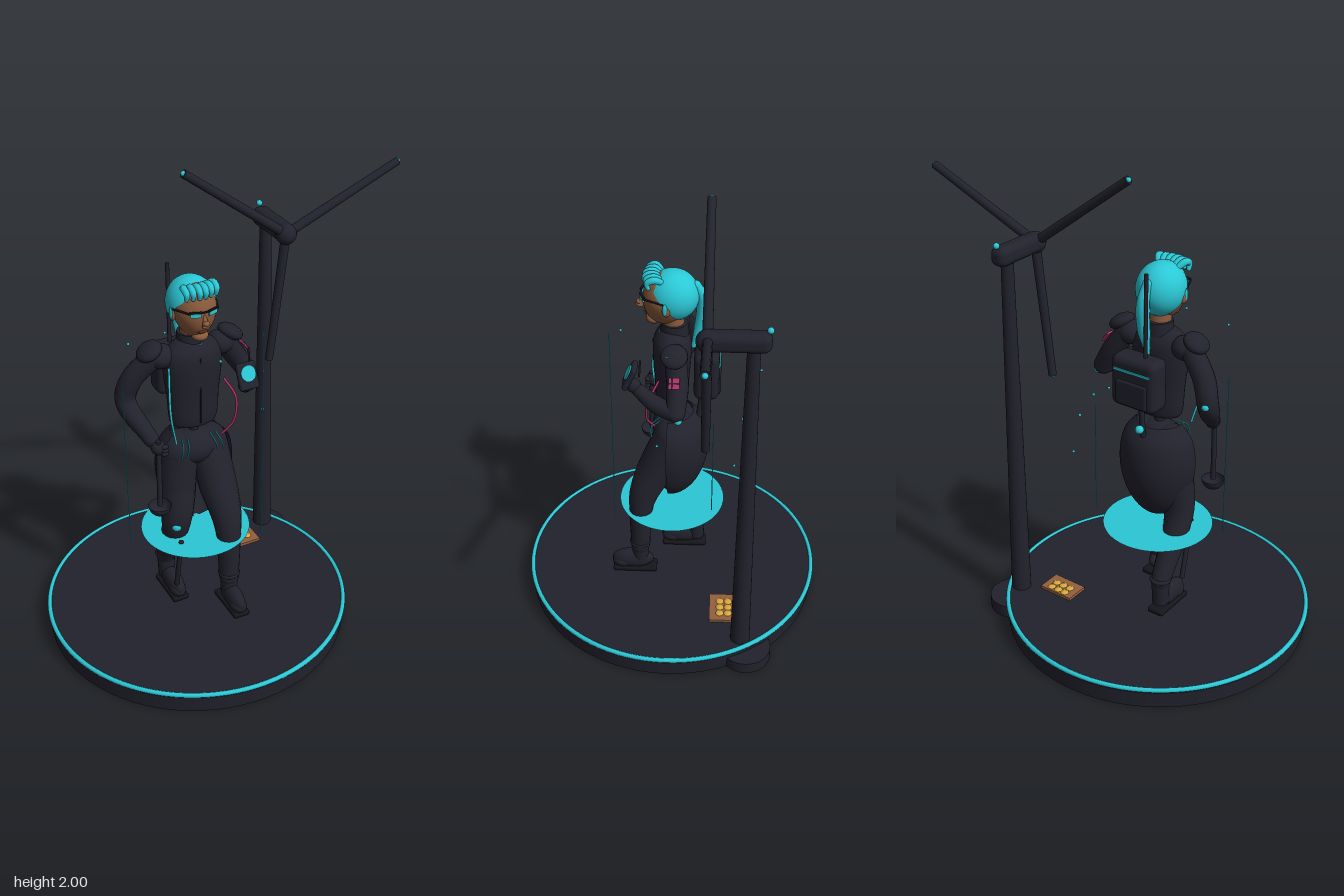
import * as THREE from 'three';
import { RoundedBoxGeometry } from 'three/addons/geometries/RoundedBoxGeometry.js';

const V = (x, y, z) => new THREE.Vector3(x, y, z);
const CX = -0.19; // figure and platform axis

export function createModel() {
  const root = new THREE.Group();
  const mat = (name, color, side = THREE.FrontSide) => {
    const m = new THREE.MeshStandardMaterial({ color, side });
    m.name = name;
    return m;
  };
  const dark = mat('charcoal', 0x22222d, THREE.DoubleSide);
  const black = mat('black', 0x15151b);
  const cyan = mat('cyan', 0x2bc8d6, THREE.DoubleSide);
  const skin = mat('skin', 0x8a5a3c);
  const lip = mat('lip', 0x5a2c26);
  const pink = mat('pink', 0xb8306a);
  const brown = mat('wood', 0x946040);
  const gold = mat('gold', 0xd8a840);

  const add = (name, geo, m, x = 0, y = 0, z = 0) => {
    const mesh = new THREE.Mesh(geo, m);
    mesh.name = name;
    mesh.position.set(x, y, z);
    root.add(mesh);
    return mesh;
  };
  const ball = (name, m, x, y, z, rx, ry = rx, rz = rx) => {
    const b = add(name, new THREE.SphereGeometry(1, 24, 16), m, x, y, z);
    b.scale.set(rx, ry, rz);
    return b;
  };
  const box = (name, m, x, y, z, w, h, d, r = 0) =>
    add(name, r ? new RoundedBoxGeometry(w, h, d, 3, r) : new THREE.BoxGeometry(w, h, d), m, x, y, z);
  const rod = (name, m, a, b, r1, r2 = r1, sides = 16) => {
    const d = b.clone().sub(a);
    const mesh = add(name, new THREE.CylinderGeometry(r2, r1, d.length(), sides), m);
    mesh.position.copy(a).addScaledVector(d, 0.5);
    mesh.quaternion.setFromUnitVectors(V(0, 1, 0), d.normalize());
    return mesh;
  };
  // Tapered tube along a curve with rounded ends
  const limb = (name, m, pts, radii, seg = 28, sides = 16) => {
    const curve = new THREE.CatmullRomCurve3(pts);
    const geo = new THREE.TubeGeometry(curve, seg, 1, sides);
    const p = geo.attributes.position, v = V(0, 0, 0);
    for (let i = 0; i < p.count; i++) {
      const t = Math.floor(i / (sides + 1)) / seg;
      const k = t * (radii.length - 1), j = Math.min(Math.floor(k), radii.length - 2);
      const r = THREE.MathUtils.lerp(radii[j], radii[j + 1], k - j);
      const c = curve.getPointAt(t);
      v.fromBufferAttribute(p, i).sub(c).multiplyScalar(r).add(c);
      p.setXYZ(i, v.x, v.y, v.z);
    }
    add(name, geo, m);
    [0, pts.length - 1].forEach(i => ball(name + 'End', m, ...pts[i].toArray(), radii[i ? radii.length - 1 : 0]));
  };
  const lathe = (name, m, pts, x, z, sz = 1, start = 0, len = Math.PI * 2) => {
    const g = new THREE.LatheGeometry(new THREE.SplineCurve(pts.map(p => new THREE.Vector2(...p))).getPoints(24), 36, start, len);
    const mesh = add(name, g, m, x, 0, z);
    mesh.scale.z = sz;
    return mesh;
  };

  // Platform, glowing rim and floating disc
  add('platform', new THREE.CylinderGeometry(0.655, 0.65, 0.075, 72), dark, CX, 0.0375, 0);
  add('platformTop', new THREE.CylinderGeometry(0.645, 0.645, 0.015, 72), dark, CX, 0.0825, 0);
  add('platformRim', new THREE.TorusGeometry(0.65, 0.01, 10, 96), cyan, CX, 0.086, 0).rotation.x = Math.PI / 2;
  add('glowDisc', new THREE.CircleGeometry(0.233, 64), cyan, CX, 0.455, 0).rotation.x = -Math.PI / 2;

  // Wind turbine
  const tx = 0.315, hub = V(tx, 1.645, -0.15);
  add('towerFoot', new THREE.CylinderGeometry(0.11, 0.11, 0.055, 32), dark, 0.33, 0.0285, -0.345);
  rod('tower', dark, V(tx, 0.03, -0.32), V(tx, 1.64, -0.32), 0.043, 0.025, 24);
  add('nacelle', new RoundedBoxGeometry(0.075, 0.08, 0.25, 4, 0.03), dark, tx, 1.648, -0.26);
  ball('hub', dark, ...hub.toArray(), 0.044);
  for (const [x, y] of [[-0.14, 1.985], [0.84, 1.865], [0.245, 1.08]]) {
    const tip = V(x, y, -0.15);
    rod('blade', dark, hub, tip, 0.02, 0.017);
    ball('bladeTip', cyan, x, y, -0.15, 0.011);
  }
  ball('beacon', cyan, tx, 1.697, -0.377, 0.013);

  // Crate with gold rounds
  box('crate', brown, 0.15, 0.095, -0.235, 0.16, 0.016, 0.105);
  for (let i = 0; i < 6; i++)
    ball('goldRound', gold, 0.115 + (i % 3) * 0.036, 0.102, -0.265 + Math.floor(i / 3) * 0.036, 0.018, 0.009, 0.018);

  // Legs and boots: left forward, right trailing
  limb('leftLeg', dark, [V(-0.125, 0.86, -0.01), V(-0.115, 0.7, 0.06), V(-0.1, 0.53, 0.125), V(-0.1, 0.24, 0.14)], [0.085, 0.08, 0.052, 0.043]);
  limb('rightLeg', dark, [V(-0.255, 0.86, -0.01), V(-0.27, 0.7, 0), V(-0.285, 0.52, 0.015), V(-0.285, 0.25, -0.11)], [0.085, 0.078, 0.054, 0.042]);
  for (const [x, z, az] of [[-0.1, 0.165, 0.14], [-0.285, -0.055, -0.11]]) {
    rod('ankle', dark, V(x, 0.14, az), V(x, 0.26, az), 0.035, 0.04);
    add('cuff', new THREE.TorusGeometry(0.038, 0.01, 8, 24), dark, x, 0.26, az).rotation.x = Math.PI / 2;
    ball('boot', dark, x, 0.155, z + 0.01, 0.037, 0.05, 0.095);
    ball('toe', dark, x, 0.14, z + 0.055, 0.036, 0.033, 0.05);
    box('sole', black, x, 0.109, z, 0.075, 0.024, 0.2, 0.01);
  }
  ball('kneeLight', cyan, -0.307, 0.525, 0.062, 0.022);
  rod('legRod', dark, V(-0.3, 0.46, 0.09), V(-0.3, 0.19, 0.03), 0.011);

  // Hips, open-fronted coat tail and waist joint
  ball('hips', dark, CX, 0.87, 0, 0.115, 0.08, 0.085);
  lathe('coatTail', dark, [[0.012, 0.51], [0.07, 0.53], [0.125, 0.6], [0.16, 0.7], [0.168, 0.8], [0.15, 0.89], [0.1, 0.95]],
    CX, 0.01, 1, Math.PI * 0.48, Math.PI * 1.04);
  rod('waistJoint', dark, V(CX, 0.9, 0), V(CX, 1, 0), 0.02);

  // Torso, seam and collar
  lathe('torso', dark, [[0.001, 0.975], [0.085, 0.985], [0.105, 1.02], [0.112, 1.12], [0.125, 1.24], [0.118, 1.32], [0.07, 1.365], [0.04, 1.37]], CX, 0, 0.64);
  rod('chestSeam', black, V(CX, 1.01, 0.068), V(CX, 1.31, 0.078), 0.003);
  add('collar', new THREE.CylinderGeometry(0.055, 0.06, 0.055, 28), dark, CX, 1.37, -0.01);
  rod('neck', skin, V(CX, 1.36, -0.01), V(CX, 1.46, 0.005), 0.045);
  box('collarLight', cyan, CX + 0.015, 1.355, 0.049, 0.02, 0.008, 0.006);

  // Hanging cables
  const cable = (m, pts, r = 0.005) => add('cable', new THREE.TubeGeometry(new THREE.CatmullRomCurve3(pts), 24, r, 8), m);
  cable(cyan, [V(-0.31, 1.28, 0.04), V(-0.33, 1.1, 0.09), V(-0.3, 0.94, 0.07)]);
  cable(pink, [V(-0.075, 1.18, 0.05), V(-0.04, 1.1, 0.09), V(-0.055, 1, 0.1), V(-0.095, 0.93, 0.07)]);
  for (const s of [-1, 1]) for (const k of [0.05, 0.075])
    cable(cyan, [V(CX + s * k, 0.94, 0.05), V(CX + s * (k + 0.01), 0.91, 0.085), V(CX + s * (k + 0.02), 0.87, 0.085)], 0.003);

  // Arms
  limb('rightArm', dark, [V(-0.35, 1.31, -0.02), V(-0.43, 1.22, -0.05), V(-0.458, 1.12, -0.06), V(-0.405, 0.99, 0.06)], [0.045, 0.045, 0.042, 0.032]);
  limb('leftUpperArm', dark, [V(-0.04, 1.31, -0.02), V(0.02, 1.22, -0.03), V(0.075, 1.13, -0.025)], [0.045, 0.045, 0.04]);
  limb('leftForearm', dark, [V(0.075, 1.13, -0.025), V(0.03, 1.14, 0.06), V(-0.02, 1.17, 0.13)], [0.04, 0.036, 0.028]);
  for (const s of [-1, 1]) {
    ball('shoulder', dark, CX + s * 0.13, 1.31, -0.015, 0.06, 0.05, 0.055);
    const pad = ball('shoulderPad', dark, CX + s * 0.178, 1.345, -0.015, 0.055, 0.03, 0.055);
    pad.rotation.z = -s * 0.5;
  }
  ball('rightElbowLight', cyan, -0.47, 1.13, -0.098, 0.015);
  ball('leftElbowLight', cyan, 0.096, 1.105, -0.035, 0.017);
  box('shoulderLight', cyan, 0.012, 1.355, -0.012, 0.008, 0.01, 0.06);
  // Arm patch
  const patch = new THREE.Group();
  patch.name = 'armPatch';
  patch.position.set(0.056, 1.262, -0.018);
  patch.rotation.z = 0.6;
  root.add(patch);
  patch.add(box('patchBase', pink, 0, 0, 0, 0.008, 0.045, 0.045));
  patch.add(box('patchBarAcross', dark, 0.003, 0, 0, 0.006, 0.007, 0.045));
  patch.add(box('patchBarUpright', dark, 0.003, 0, 0.008, 0.006, 0.045, 0.007));

  // Right hand and ladle
  ball('rightHand', dark, -0.39, 0.965, 0.09, 0.03, 0.032, 0.032);
  for (let i = 0; i < 3; i++) ball('finger', dark, -0.372, 0.975 - i * 0.016, 0.115, 0.016, 0.009, 0.012);
  rod('ladleHandle', dark, V(-0.392, 1.0, 0.1), V(-0.395, 0.69, 0.1), 0.011);
  add('ladleBowl', new THREE.SphereGeometry(0.048, 24, 12, 0, Math.PI * 2, Math.PI / 2, Math.PI / 2), dark, -0.395, 0.692, 0.1);

  // Left hand with handheld device
  ball('leftHand', dark, -0.025, 1.19, 0.15, 0.028, 0.032, 0.03);
  const device = new THREE.Group();
  device.name = 'device';
  device.position.set(-0.03, 1.235, 0.165);
  device.rotation.x = 0.45 - 0.9;
  root.add(device);
  device.add(box('deviceBody', dark, 0, 0, 0, 0.085, 0.11, 0.024, 0.01));
  const screen = add('deviceScreen', new THREE.CylinderGeometry(0.032, 0.032, 0.006, 24), cyan, 0, 0.01, 0.014);
  screen.rotation.x = Math.PI / 2;
  device.add(screen);
  rod('deviceAerial', dark, V(0, 1.25, 0.125), V(0, 1.33, 0.12), 0.004);

  // Backpack, aerial and belt light
  box('backpack', dark, CX, 1.18, -0.145, 0.21, 0.22, 0.105, 0.03);
  box('packFlap', dark, CX, 1.14, -0.19, 0.15, 0.11, 0.03, 0.012);
  box('packStripe', cyan, CX, 1.235, -0.198, 0.17, 0.01, 0.008);
  rod('aerial', dark, V(-0.22, 1.27, -0.145), V(-0.22, 1.635, -0.145), 0.008);
  rod('packHose', dark, V(CX, 1.08, -0.13), V(CX, 0.92, -0.115), 0.012);
  ball('beltLight', cyan, CX, 0.96, -0.14, 0.018);

  // Head: ellipsoid tapering to the chin
  const headGeo = new THREE.SphereGeometry(1, 32, 24);
  const hp = headGeo.attributes.position;
  for (let i = 0; i < hp.count; i++) {
    const y = hp.getY(i);
    if (y < 0) hp.setX(i, hp.getX(i) * (1 + 0.22 * y));
  }
  headGeo.computeVertexNormals();
  add('head', headGeo, skin, CX, 1.51, 0.028).scale.set(0.088, 0.118, 0.092);
  const nose = add('nose', new THREE.ConeGeometry(0.017, 0.06, 12), skin, CX, 1.503, 0.123);
  nose.rotation.x = -0.35;
  ball('noseTip', skin, CX, 1.49, 0.133, 0.014, 0.011, 0.014);
  ball('chin', skin, CX, 1.415, 0.075, 0.034, 0.022, 0.032);
  ball('mouth', lip, CX, 1.444, 0.1, 0.022, 0.008, 0.012);
  for (const s of [-1, 1]) {
    ball('ear', skin, CX + s * 0.09, 1.5, 0.02, 0.012, 0.026, 0.018);
    ball('earLight', cyan, CX + s * 0.098, 1.51, 0.026, 0.006, 0.026, 0.01);
    box('lens', cyan, CX + s * 0.036, 1.526, 0.119, 0.042, 0.016, 0.008).rotation.y = s * 0.35;
    box('glassesRim', black, CX + s * 0.038, 1.538, 0.119, 0.05, 0.006, 0.009).rotation.y = s * 0.35;
    rod('glassesArm', black, V(CX + s * 0.06, 1.535, 0.113), V(CX + s * 0.094, 1.53, 0.03), 0.004);
  }
  box('glassesBridge', black, CX, 1.536, 0.126, 0.03, 0.006, 0.006);

  // Hair cap, curled fringe and ponytail
  const cap = add('hair', new THREE.SphereGeometry(0.11, 36, 24, 0, Math.PI * 2, 0, 1.85), cyan, CX, 1.525, 0);
  cap.rotation.x = -0.9;
  cap.scale.x = 0.9;
  for (let i = 0; i < 6; i++) {
    const u = i - 2.5, x = CX + u * 0.025, dz = -Math.abs(u) * 0.006;
    limb('fringe', cyan, [V(CX + u * 0.018, 1.605, 0.04), V(x, 1.625, 0.085 + dz), V(x, 1.61, 0.113 + dz), V(x, 1.588, 0.108 + dz)],
      [0.012, 0.015, 0.014, 0.009], 12, 10);
  }
  limb('ponytail', cyan, [V(CX, 1.57, -0.095), V(CX, 1.51, -0.122), V(CX, 1.4, -0.118), V(CX, 1.28, -0.088)], [0.02, 0.028, 0.025, 0.01]);

  // Light beams and drifting sparks
  for (const [x, z, y0, y1] of [[-0.5, 0.02, 0.5, 1.22], [0, 0.24, 0.5, 1.46], [0, -0.18, 0.55, 1.03]])
    rod('lightBeam', cyan, V(x, y0, z), V(x, y1, z), 0.002, 0.002, 6);
  for (const p of [[-0.475, 1.43, 0.04], [-0.015, 1.04, -0.3], [0.105, 0.98, 0.05], [0.045, 0.84, -0.27], [-0.14, 1.2, -0.37], [-0.17, 1.36, 0.21]])
    ball('spark', cyan, ...p, 0.006);

  return root;
}
